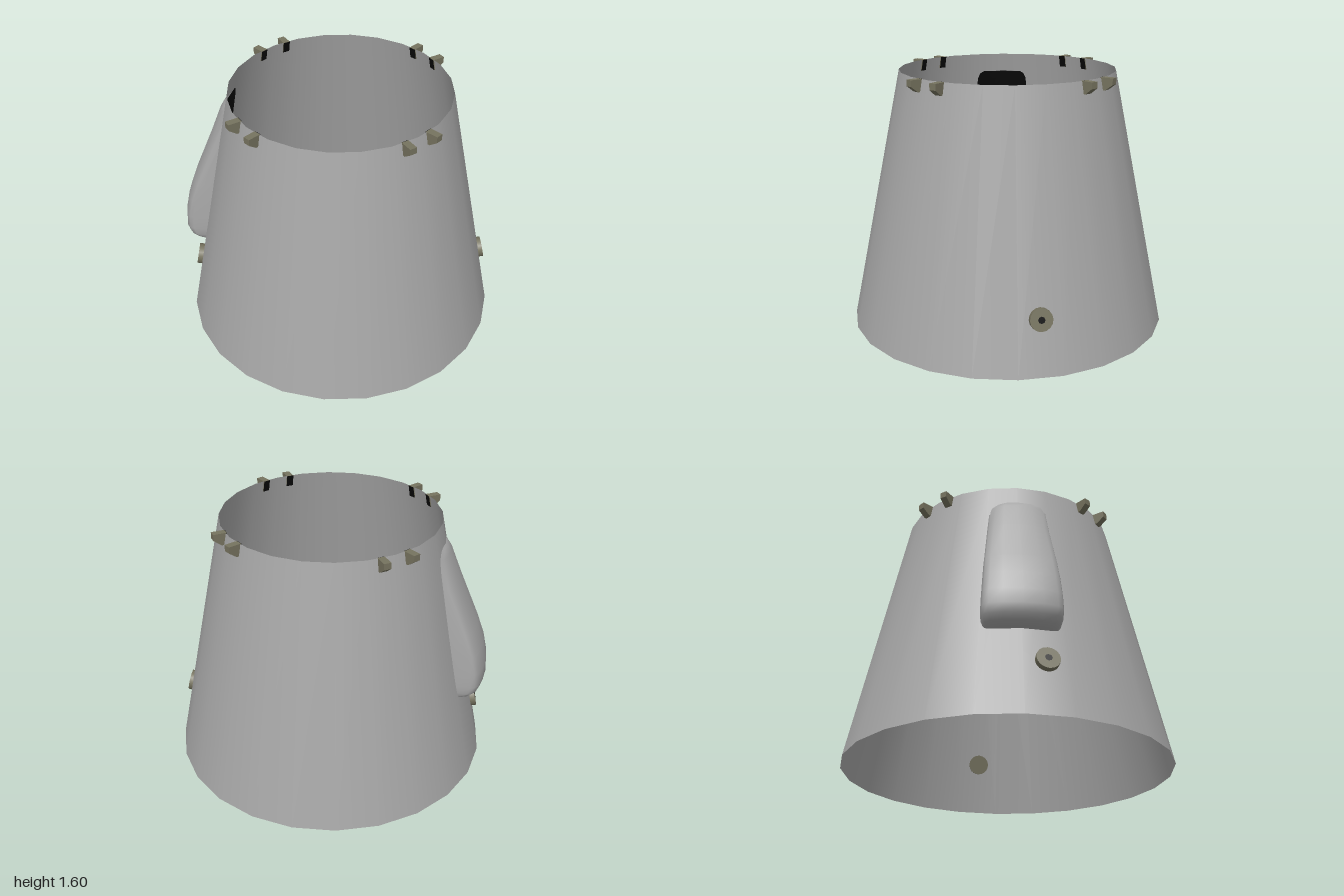
import * as THREE from 'three';

const H = 1.6, R0 = 1, R1 = 0.667;
const rad = THREE.MathUtils.degToRad;
const radiusAt = (y) => R0 + (R1 - R0) * y / H;
// depth of the faceted wall at sideways distance x from a wall corner
const wallAt = (y, x) => radiusAt(y) - Math.abs(x) * Math.tan(rad(7.5));

const shellGrey = new THREE.MeshStandardMaterial({ color: 0xa6a6a6, side: THREE.DoubleSide });
shellGrey.name = 'shellGrey';
const olive = new THREE.MeshStandardMaterial({ color: 0x76735f });
olive.name = 'olive';
const black = new THREE.MeshStandardMaterial({ color: 0x080808, side: THREE.DoubleSide });
black.name = 'black';

function add(parent, name, geometry, material) {
  const mesh = new THREE.Mesh(geometry, material);
  mesh.name = name;
  parent.add(mesh);
  return mesh;
}

// surface through rows of [x, y, z] points, rows running downwards
function loft(rows) {
  const n = rows[0].length, index = [];
  for (let i = 0; i < rows.length - 1; i++) {
    for (let j = 0; j < n - 1; j++) {
      const a = i * n + j, b = a + n;
      index.push(a, b, a + 1, a + 1, b, b + 1);
    }
  }
  const g = new THREE.BufferGeometry();
  g.setAttribute('position', new THREE.Float32BufferAttribute(rows.flat(2), 3));
  g.setIndex(index);
  g.computeVertexNormals();
  return g;
}

function makeFairing() {
  const group = new THREE.Group();
  group.name = 'fairing';
  // height, half width, outer depth
  const sections = [
    [1.48, 0.125, 0.68], [1.465, 0.15, 0.705], [1.43, 0.166, 0.728], [1.25, 0.183, 0.8],
    [0.97, 0.207, 0.92], [0.84, 0.215, 0.968], [0.72, 0.222, 0.995], [0.63, 0.225, 1.0],
    [0.58, 0.222, 0.985], [0.55, 0.212, 0.955], [0.535, 0.2, 0.92], [0.53, 0.19, 0.88],
  ];
  const cover = sections.map(([y, w, r]) => {
    const half = [[w, 0], [w, r - 0.075], [w - 0.008, r - 0.05], [w - 0.035, r - 0.028], [w * 0.5, r - 0.008]];
    const point = ([x, z]) => [x, y, Math.max(z, wallAt(y, x) - 0.004)];
    return [
      ...half.map(([x, z]) => point([-x, z])),
      point([0, r]),
      ...half.slice().reverse().map(point),
    ];
  });
  add(group, 'fairingCover', loft(cover), shellGrey);
  // dark opening on the inner wall
  const opening = sections.map(([y, w]) => [w, 0, -w].map((x) => [x, y, wallAt(y, x) - 0.009]));
  add(group, 'fairingOpening', loft(opening), black);
  group.rotation.y = rad(225);
  return group;
}

function makeTab(azimuth) {
  const group = new THREE.Group();
  group.name = 'rimTab';
  const width = 0.044;
  const shape = new THREE.Shape([
    [0.657, 1.6], [0.672, 1.527], [0.69, 1.527], [0.737, 1.562], [0.737, 1.6],
  ].map((p) => new THREE.Vector2(...p)));
  const body = new THREE.ExtrudeGeometry(shape, { depth: width, bevelEnabled: false });
  body.translate(0, 0, -width / 2);
  add(group, 'tabBody', body, olive);
  // dark inner face
  const face = loft([[0.655, 1.6], [0.67, 1.527]].map(([x, y]) => [[x, y, -width / 2], [x, y, width / 2]]));
  add(group, 'tabInnerFace', face, black);
  group.rotation.y = azimuth - Math.PI / 2;
  return group;
}

function makePort(azimuth) {
  const group = new THREE.Group();
  group.name = 'port';
  const disc = new THREE.CylinderGeometry(0.067, 0.067, 0.04, 16).rotateX(Math.PI / 2);
  add(group, 'portRing', disc, olive).position.z = 0.012;
  add(group, 'portHole', new THREE.CircleGeometry(0.021, 8), black).position.z = 0.034;
  const y = 0.33, r = radiusAt(y) * 0.992;
  group.position.set(r * Math.sin(azimuth), y, r * Math.cos(azimuth));
  group.rotation.order = 'YXZ';
  group.rotation.y = azimuth;
  group.rotation.x = -Math.atan((R0 - R1) / H);
  return group;
}

export function createModel() {
  const model = new THREE.Group();
  model.name = 'conicalAdapter';
  add(model, 'coneShell', new THREE.CylinderGeometry(R1, R0, H, 24, 1, true), shellGrey).position.y = H / 2;
  model.add(makeFairing());
  // a pair of tabs at each quarter of the rim
  for (let q = 0; q < 4; q++) {
    for (const s of [-1, 1]) model.add(makeTab(rad(q * 90 + s * 7.5)));
  }
  // two opposite ports near the base
  for (const a of [53, 233]) model.add(makePort(rad(a)));
  return model;
}
